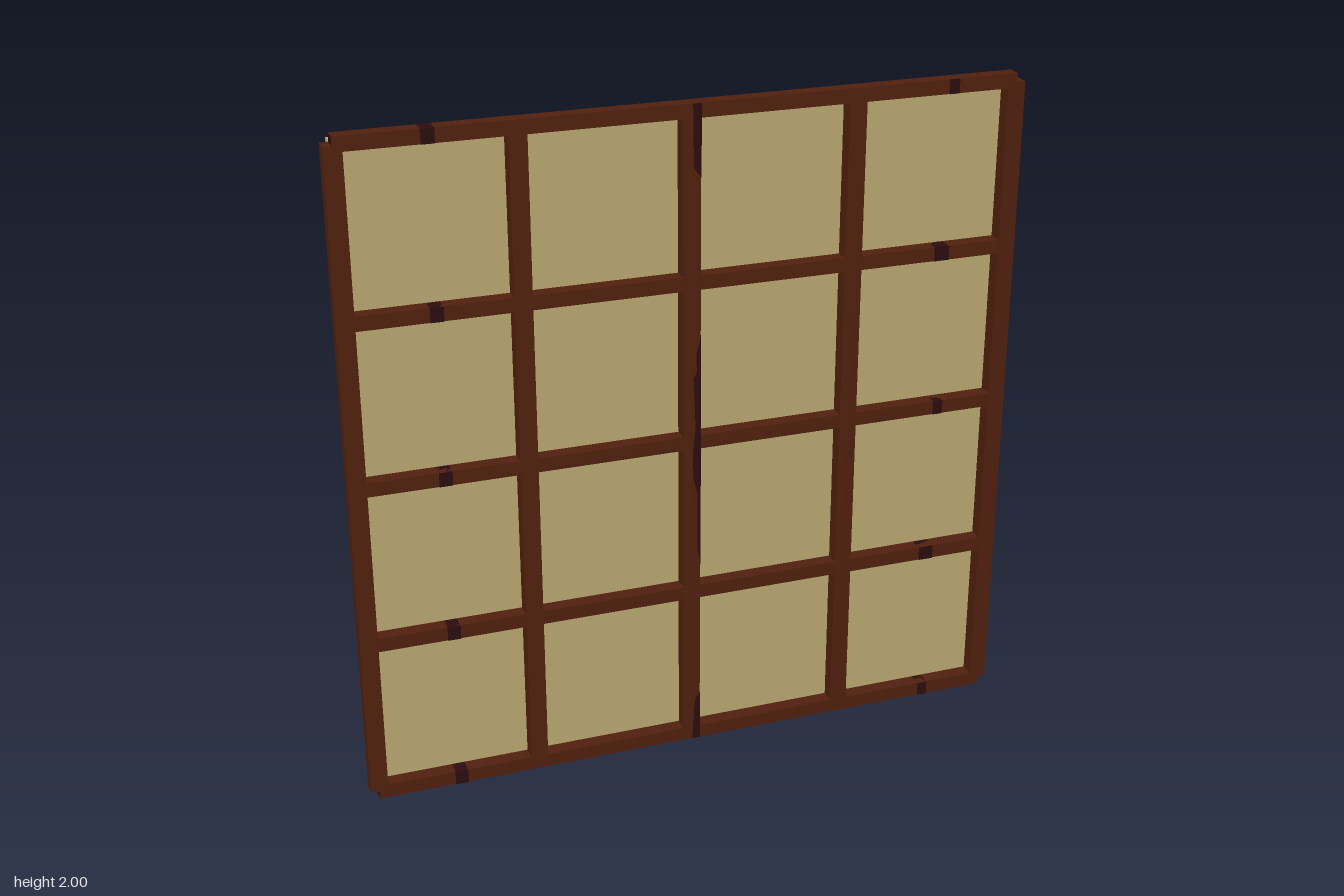
import * as THREE from 'three';

export function createModel() {
  const model = new THREE.Group();
  const material = (name, color) => {
    const m = new THREE.MeshStandardMaterial({ color });
    m.name = name;
    return m;
  };
  const paper = material('paper', 0xb8a670);
  const wood = material('wood', 0x50200d);
  const darkWood = material('darkWood', 0x2a0c0e);

  const add = (name, geometry, mat, x, y, z) => {
    const mesh = new THREE.Mesh(geometry, mat);
    mesh.name = name;
    mesh.position.set(x, y, z);
    model.add(mesh);
    return mesh;
  };
  const box = (name, w, h, d, mat, x, y, z) =>
    add(name, new THREE.BoxGeometry(w, h, d), mat, x, y, z);

  // Backing panel
  box('panel', 1.95, 1.95, 0.047, paper, 0, 1, -0.0235);

  // Upright bars
  for (const x of [-0.974, -0.487, -0.003, 0.486, 0.974])
    box('uprightBar', 0.052, 1.95, 0.045, wood, x, 1, 0.0225);

  // Cross bars with dark end grain and dark knots around them
  const endGrain = [darkWood, darkWood, wood, wood, wood, wood];
  [0.021, 0.511, 1, 1.487, 1.979].forEach((y, i) => {
    box('crossBar', 1.95, 0.042, 0.044, endGrain, 0, y, 0.022);
    box('leftKnot', i % 2 ? 0.045 : 0.03, 0.042, 0.047, darkWood, i % 2 ? 0.765 : 0.778, y, 0.0235);
    box('rightKnot', 0.038, 0.042, 0.047, darkWood, -0.727, y, 0.0235);
  });

  // Dark streaks along the edge of the middle upright
  const streak = (points) => {
    const shape = new THREE.Shape(points.map(([x, y]) => new THREE.Vector2(x, y)));
    const geometry = new THREE.ExtrudeGeometry(shape, { depth: 0.045, bevelEnabled: false });
    add('darkStreak', geometry, darkWood, 0, 0, 0.001);
  };
  streak([[0.0, 0.001], [0.024, 0.001], [0.024, 0.16], [0.008, 0.14], [0.002, 0.06]]);
  streak([[0.024, 0.6], [0.024, 1.33], [0.01, 1.27], [0.012, 1.22], [0.002, 1.2],
    [0.008, 1.05], [0, 0.96], [0.002, 0.88], [0.014, 0.84], [0.014, 0.66]]);
  streak([[0.024, 1.79], [0.024, 1.999], [0, 1.999], [0.002, 1.82]]);

  return model;
}
